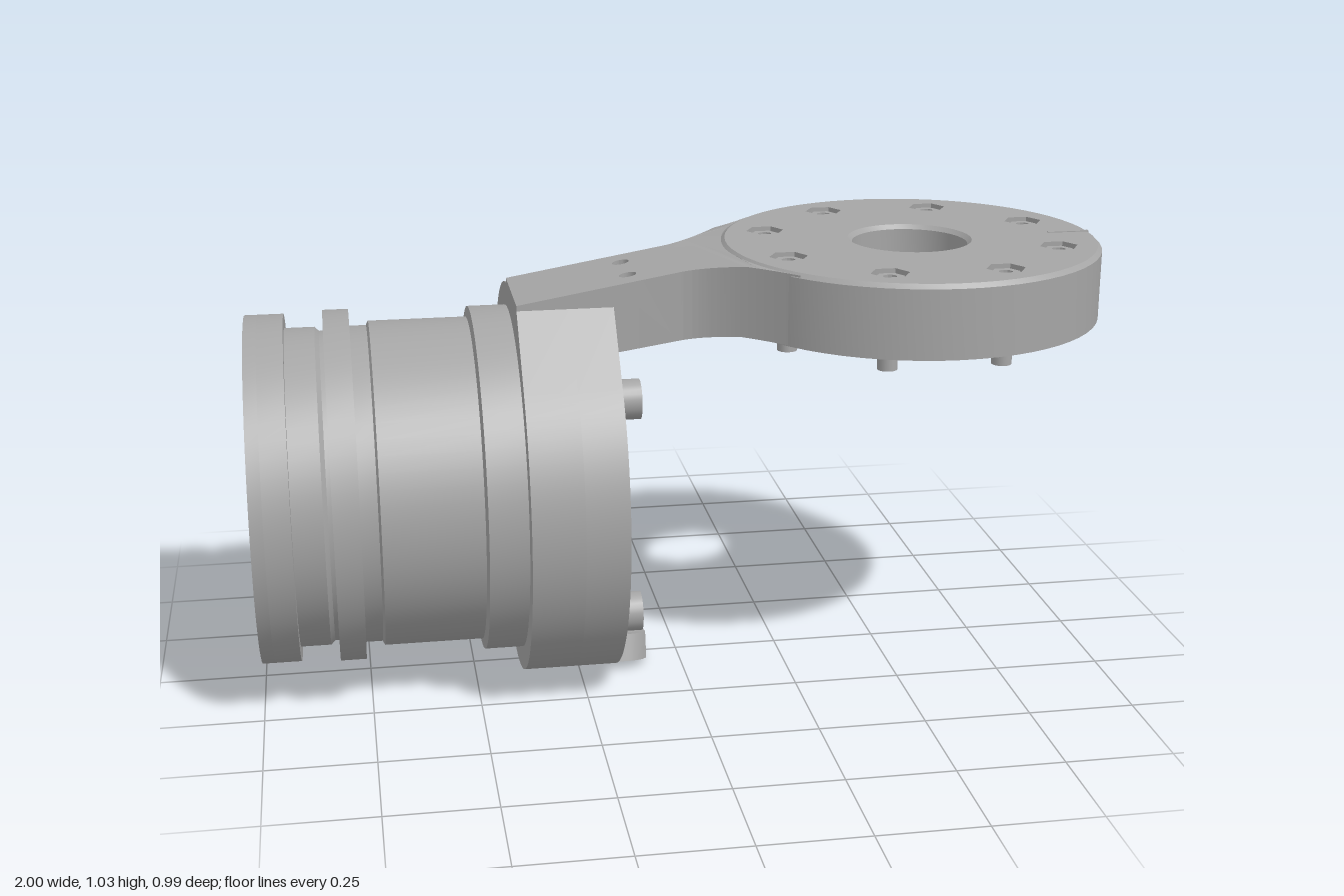
import * as THREE from 'three';
import { toCreasedNormals } from 'three/addons/utils/BufferGeometryUtils.js';

const grey = new THREE.MeshStandardMaterial({ color: 0xa5a5a5 });
grey.name = 'satin grey';

const AXIS_Y = 0.465, AXIS_Z = -0.035; // motor axis, parallel to x
const DISC_X = 0.55, DISC_Z = 0.047;   // head disc centre

function add(parent, name, geo) {
  const mesh = new THREE.Mesh(toCreasedNormals(geo, 0.5), grey);
  mesh.name = name;
  parent.add(mesh);
  return mesh;
}
function ngon(T, x, y, r, n, start = 0) {
  const pts = [];
  for (let i = 0; i < n; i++) {
    const a = start + (i / n) * Math.PI * 2;
    pts.push(new THREE.Vector2(x + r * Math.cos(a), y + r * Math.sin(a)));
  }
  return new T(pts);
}
const circle = (x, y, r, n = 48) => ngon(THREE.Shape, x, y, r, n);
const hole = (x, y, r, n = 24) => ngon(THREE.Path, x, y, r, n);
function rect(T, w, h) {
  return new T([[-w, -h], [w, -h], [w, h], [-w, h]].map(p => new THREE.Vector2(p[0] / 2, p[1] / 2)));
}
const extrude = (shape, depth, steps = 1) =>
  new THREE.ExtrudeGeometry(shape, { depth, steps, bevelEnabled: false, curveSegments: 48 });
// Shape plane is (-z, y); extrusion runs along +x between x0 and x1
const alongX = (shape, x0, x1, steps) => extrude(shape, x1 - x0, steps).rotateY(Math.PI / 2).translate(x0, 0, 0);
// Shape plane is (x, z); extrusion runs down from y1 to y0
const alongY = (shape, y0, y1) => extrude(shape, y1 - y0).rotateX(Math.PI / 2).translate(0, y1, 0);
// Closed profile of [radius, height] pairs, counter-clockwise
function lathe(profile, seg = 64) {
  return new THREE.LatheGeometry([...profile, profile[0]].map(p => new THREE.Vector2(p[0], p[1])), seg);
}

// Outline of the collar: a circle with one tangent corner under the arm
function collarShape(bore) {
  const s = new THREE.Shape();
  s.moveTo(-0.21, 0.465);
  s.lineTo(0, 0.465);
  s.absarc(0, 0, 0.465, Math.PI / 2, 2.42 - Math.PI * 2, true);
  s.closePath();
  s.holes.push(hole(0, 0, bore, 48));
  return s;
}

function buildMotor() {
  const motor = new THREE.Group();
  motor.name = 'motor';
  motor.position.set(0, AXIS_Y, AXIS_Z);

  // Stepped body
  add(motor, 'motorBody', lathe([
    [0.067, -0.97], [0.41, -0.97], [0.41, -0.91], [0.376, -0.91], [0.376, -0.84], [0.366, -0.83], [0.366, -0.82],
    [0.415, -0.82], [0.415, -0.76], [0.375, -0.76], [0.375, -0.72], [0.385, -0.715], [0.385, -0.485],
    [0.41, -0.48], [0.41, -0.39], [0.067, -0.39]]).rotateZ(-Math.PI / 2));

  // Output flange with twelve bolt holes and an inset face
  const flange = circle(0, 0, 0.41, 64);
  flange.holes.push(hole(0, 0, 0.29, 48));
  for (let i = 0; i < 12; i++) {
    const a = (i / 12) * Math.PI * 2;
    flange.holes.push(hole(0.355 * Math.cos(a), 0.355 * Math.sin(a), i % 3 ? 0.022 : 0.028, 16));
  }
  add(motor, 'outputFlange', alongX(flange, -1, -0.97));
  add(motor, 'outputFace', lathe([[0.09, -0.993], [0.29, -0.993], [0.29, -0.97], [0.067, -0.97]]).rotateZ(-Math.PI / 2));

  // Collar: solid base, open rim, raised cover plate and hollow shaft
  add(motor, 'collarBase', alongX(collarShape(0.067), -0.39, -0.27));
  add(motor, 'collarRim', alongX(collarShape(0.4), -0.27, -0.17));
  const cover = circle(0, 0, 0.385);
  cover.holes.push(hole(0, 0, 0.08));
  add(motor, 'coverPlate', alongX(cover, -0.27, -0.255));
  add(motor, 'hollowShaft', lathe([[0.067, -0.27], [0.09, -0.27], [0.09, -0.225], [0.08, -0.215], [0.067, -0.215]], 32)
    .rotateZ(-Math.PI / 2));

  // Four bosses with hex-socket screws
  for (const s of [-0.263, 0.263]) for (const y of [-0.26, 0.26]) {
    const boss = circle(s, y, 0.046, 24);
    boss.holes.push(hole(s, y, 0.025, 6));
    add(motor, 'screwBoss', alongX(boss, -0.26, -0.12));
    add(motor, 'screwSocket', alongX(circle(s, y, 0.03, 12), -0.26, -0.15));
  }

  // Sockets on the cover: centre, size, turn, number of contacts
  const sockets = [
    [-0.165, 0.2, 0.115, 0.09, -0.78, 2], [-0.235, 0.085, 0.13, 0.085, 0.78, 2],
    [0.265, -0.08, 0.17, 0.115, 0.78, 4], [0, -0.28, 0.18, 0.075, 0.78, 5], [-0.32, -0.14, 0.17, 0.07, -1.25, 1]];
  for (const [s, y, w, h, turn, pins] of sockets) {
    const socket = new THREE.Group();
    socket.name = 'socket';
    socket.position.set(0, y, -s);
    socket.rotation.x = turn;
    const frame = rect(THREE.Shape, w, h);
    frame.holes.push(rect(THREE.Path, w - 0.03, h - 0.03));
    add(socket, 'socketFrame', alongX(frame, -0.256, -0.22));
    const pitch = (w - 0.045) / pins;
    for (let i = 0; i < pins; i++) {
      const pin = add(socket, 'socketContact', new THREE.BoxGeometry(0.025, (h - 0.03) * 0.4, pitch * 0.75));
      pin.position.set(-0.245, 0, (i - (pins - 1) / 2) * pitch);
    }
    motor.add(socket);
  }
  const chip = add(motor, 'chipPlate', new THREE.BoxGeometry(0.008, 0.11, 0.1));
  chip.position.set(-0.252, 0.3, -0.07);
  chip.rotation.x = 0.78;

  // Bottom lug: an arc slab narrowing to rounded outer corners
  const half = 0.33, lug = new THREE.Shape();
  lug.absarc(0, 0, 0.465, -Math.PI / 2 - half, -Math.PI / 2 + half, false);
  lug.absarc(0, 0, 0.4, -Math.PI / 2 + half, -Math.PI / 2 - half, true);
  const lugGeo = alongX(lug, -0.172, -0.085, 8);
  const p = lugGeo.attributes.position;
  for (let i = 0; i < p.count; i++) {
    const r = Math.hypot(p.getY(i), p.getZ(i)), t = (p.getX(i) + 0.172) / 0.087;
    const a = Math.atan2(p.getZ(i), -p.getY(i)) * (1 - 0.25 * t ** 4);
    p.setXYZ(i, p.getX(i), -r * Math.cos(a), r * Math.sin(a));
  }
  add(motor, 'bottomLug', lugGeo);
  for (const z of [-0.075, 0.075]) {
    const ring = add(motor, 'lugHoleRing', new THREE.TorusGeometry(0.02, 0.005, 6, 20).rotateX(Math.PI / 2));
    ring.position.set(-0.128, -0.393, z);
  }
  return motor;
}

function buildHead() {
  const head = new THREE.Group();
  head.name = 'headDisc';
  head.position.set(DISC_X, 0, DISC_Z);

  // Hollow shell, open below
  add(head, 'discWall', lathe([[0.415, 0.86], [0.445, 0.86], [0.445, 1.02], [0.435, 1.03], [0.415, 1.03]]));
  add(head, 'centreCollar', lathe([[0.135, 0.94], [0.165, 0.94], [0.165, 1.0], [0.15, 1.0], [0.15, 1.03],
    [0.145, 1.03], [0.135, 1.02]], 48));
  const lid = circle(0, 0, 0.417, 64), under = circle(0, 0, 0.417, 64);
  lid.holes.push(hole(0, 0, 0.15, 48));
  under.holes.push(hole(0, 0, 0.15, 48));
  for (let i = 0; i < 8; i++) {
    const a = (i + 0.5) * Math.PI / 4, x = 0.346 * Math.cos(a), z = 0.346 * Math.sin(a);
    // Hex pocket, screw head and post
    lid.holes.push(hole(x, z, 0.045, 6));
    const nut = ngon(THREE.Shape, x, z, 0.034, 6);
    nut.holes.push(hole(x, z, 0.016, 12));
    add(head, 'hexNut', alongY(nut, 1.0, 1.022));
    add(head, 'post', alongY(circle(x, z, 0.023, 16), 0.81, 0.99));
  }
  add(head, 'lid', alongY(lid, 1.005, 1.03));
  add(head, 'lidUnderside', alongY(under, 0.985, 1.005));

  // Index mark on the rim
  add(head, 'indexMark', new THREE.BoxGeometry(0.1, 0.004, 0.008)).position.set(0.388, 1.03, 0);
  add(head, 'indexMark', new THREE.BoxGeometry(0.004, 0.16, 0.008)).position.set(0.445, 0.94, 0);

  // Hanging clip at the back
  const clip = new THREE.Shape([[0.31, 0.9], [0.315, 0.86], [0.338, 0.82], [0.328, 0.74], [0.373, 0.74],
    [0.38, 0.82], [0.388, 0.86], [0.388, 0.9]].map(q => new THREE.Vector2(q[0] + DISC_Z, q[1])));
  add(head, 'clip', alongX(clip, -0.185, -0.11));
  for (const x of [-0.19, -0.105]) {
    const rib = add(head, 'clipRib', new THREE.BoxGeometry(0.012, 0.06, 0.05));
    rib.position.set(x, 0.855, -0.395);
    rib.rotation.z = x < -0.15 ? 0.5 : -0.5;
  }
  return head;
}

// Arm: plan outline flaring into the disc, with sloped top and underside
function buildArm() {
  const s = new THREE.Shape(), sweep = 0.7345;
  s.moveTo(-0.39, -0.13);
  for (const x of [-0.171, -0.169, -0.02]) s.lineTo(x, -0.13);
  s.quadraticCurveTo(0.068, -0.13, 0.22, -0.298);
  s.absarc(DISC_X, 0, 0.443, Math.PI + sweep, Math.PI - sweep, true);
  s.quadraticCurveTo(0.068, 0.13, -0.02, 0.13);
  for (const x of [-0.169, -0.171, -0.39]) s.lineTo(x, 0.13);
  s.holes.push(hole(-0.128, -0.06, 0.02, 16), hole(-0.128, 0.06, 0.02, 16));
  const geo = alongY(s, 0, 1), p = geo.attributes.position;
  const ramp = (x, x0, x1, y0, y1) => THREE.MathUtils.mapLinear(THREE.MathUtils.clamp(x, x0, x1), x0, x1, y0, y1);
  for (let i = 0; i < p.count; i++) {
    const x = p.getX(i);
    const top = ramp(x, -0.39, 0.12, 0.94, 1.026);
    const bottom = x < -0.17 ? 0.9 : ramp(x, -0.17, 0.11, 0.82, 0.862);
    p.setY(i, p.getY(i) > 0.5 ? top : bottom);
  }
  geo.computeVertexNormals();
  const arm = new THREE.Group();
  arm.name = 'arm';
  arm.position.z = DISC_Z;
  add(arm, 'armBeam', geo);
  return arm;
}

export function createModel() {
  const model = new THREE.Group();
  model.name = 'motorWithArm';
  model.add(buildMotor(), buildHead(), buildArm());
  return model;
}
